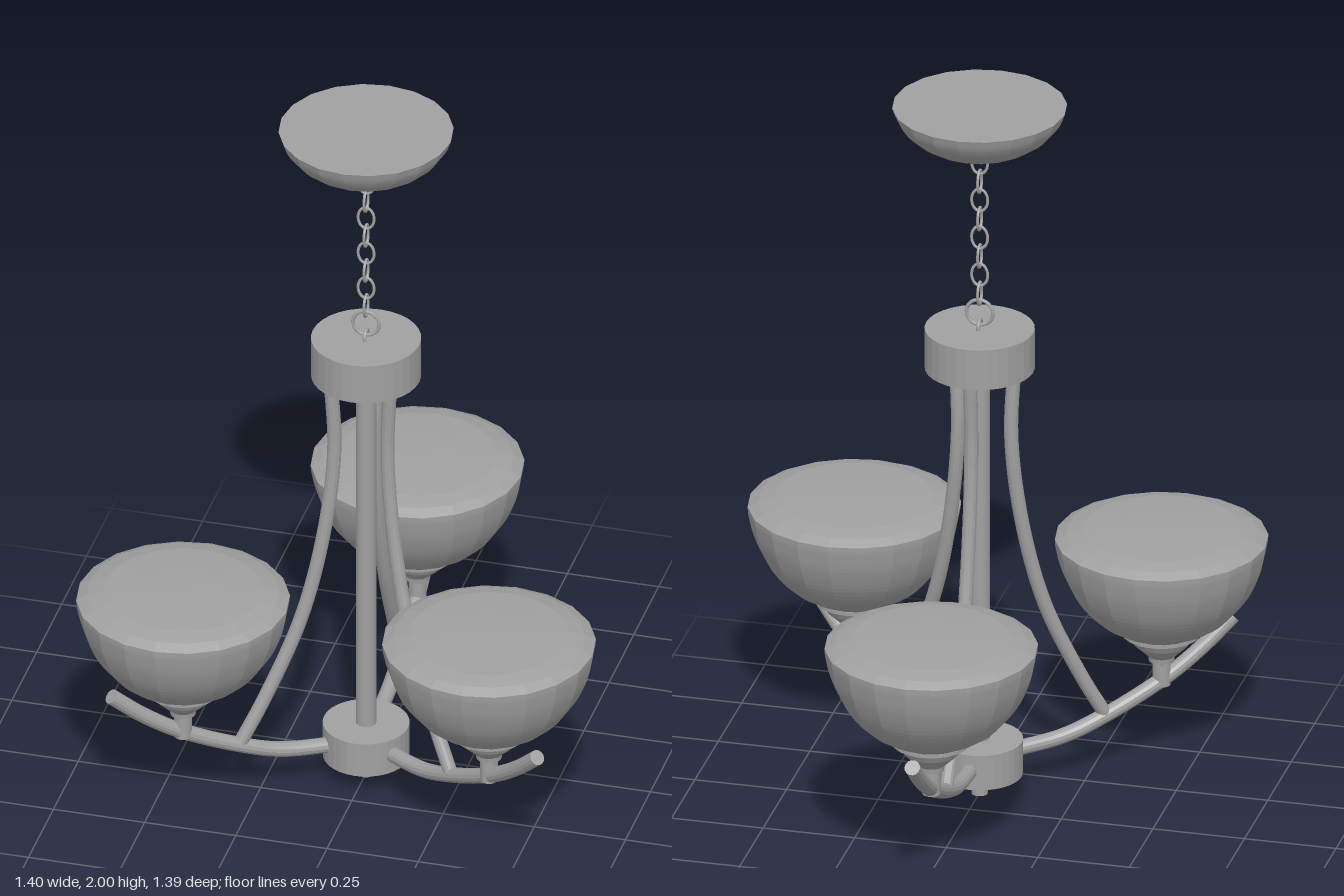
import * as THREE from 'three';

const metal = new THREE.MeshStandardMaterial({ color: 0xa0a0a0, flatShading: true });
metal.name = 'grey metal';
const smoothMetal = metal; // single finish throughout

const SIDES = 20;

function add(parent, name, geometry, y = 0, z = 0) {
  const mesh = new THREE.Mesh(geometry, smoothMetal);
  mesh.name = name;
  mesh.position.set(0, y, z);
  parent.add(mesh);
  return mesh;
}

// Cylinder given by its bottom and top heights
function drum(parent, name, radius, y0, y1, sides = 32) {
  return add(parent, name, new THREE.CylinderGeometry(radius, radius, y1 - y0, sides), (y0 + y1) / 2);
}

// Smooth bowl curve of [radius, y] points, listed bottom to top
function bowlCurve(points) {
  return new THREE.SplineCurve(points.map(p => new THREE.Vector2(...p))).getPoints(24);
}

// Round rod along [radius, y] points in the local yz plane, with flat end caps
function rod(parent, name, points, radius) {
  const curve = new THREE.CatmullRomCurve3(points.map(([r, y]) => new THREE.Vector3(0, y, r)));
  add(parent, name, new THREE.TubeGeometry(curve, 40, radius, 14));
  for (const t of [0, 1]) {
    const cap = add(parent, name + 'Cap', new THREE.CircleGeometry(radius, 14));
    const outward = curve.getTangent(t).multiplyScalar(t ? 1 : -1);
    cap.position.copy(curve.getPoint(t));
    cap.quaternion.setFromUnitVectors(new THREE.Vector3(0, 0, 1), outward);
  }
}

// One arm with its strut, cup and shade, pointing along local +z
function makeBranch() {
  const branch = new THREE.Group();
  branch.name = 'branch';
  rod(branch, 'arm', [[0.09, 0.11], [0.24, 0.127], [0.36, 0.168], [0.53, 0.25], [0.635, 0.322], [0.72, 0.395]], 0.021);
  rod(branch, 'strut', [[0.1, 1.25], [0.09, 1.02], [0.122, 0.76], [0.185, 0.52], [0.29, 0.29], [0.36, 0.165]], 0.019);

  const cup = [[0, 0.23], [0.024, 0.23], [0.024, 0.295], [0.034, 0.3], [0.036, 0.315], [0.052, 0.33],
    [0.075, 0.352], [0.086, 0.372], [0.106, 0.38], [0.106, 0.39], [0, 0.39]];
  add(branch, 'cup', new THREE.LatheGeometry(cup.map(p => new THREE.Vector2(...p)), SIDES), 0, 0.517);

  // Deep bowl closed by a shallow dome
  const shade = [new THREE.Vector2(0, 0.388),
    ...bowlCurve([[0.1, 0.388], [0.175, 0.433], [0.232, 0.5], [0.265, 0.57], [0.28, 0.63], [0.283, 0.658]]),
    ...[[0.255, 0.672], [0.21, 0.683], [0.1, 0.69], [0, 0.692]].map(p => new THREE.Vector2(...p))];
  add(branch, 'shade', new THREE.LatheGeometry(shade, SIDES), 0, 0.517);
  return branch;
}

// Oval chain link
function link(parent, name, y, turned, rx, ry, thickness) {
  const points = [];
  for (let i = 0; i < 16; i++) {
    const a = i / 16 * Math.PI * 2;
    points.push(new THREE.Vector3(Math.cos(a) * rx, Math.sin(a) * ry, 0));
  }
  const curve = new THREE.CatmullRomCurve3(points, true);
  const mesh = add(parent, name, new THREE.TubeGeometry(curve, 28, thickness, 8, true), y);
  if (turned) mesh.rotation.y = Math.PI / 2;
}

export function createModel() {
  const model = new THREE.Group();
  model.name = 'chandelier';
  const body = new THREE.Group();
  body.name = 'body';
  body.position.z = 0.107;
  model.add(body);

  // Central column
  drum(body, 'finial', 0.022, 0, 0.07, 16);
  drum(body, 'lowerHub', 0.115, 0.06, 0.16);
  drum(body, 'column', 0.027, 0.15, 1.24, 20);
  drum(body, 'upperHubPlate', 0.085, 1.22, 1.245);
  drum(body, 'upperHub', 0.146, 1.24, 1.355);

  // Three branches
  for (const angle of [Math.PI, 0.946, -0.946]) {
    const branch = makeBranch();
    branch.rotation.y = angle;
    body.add(branch);
  }

  // Chain with alternating links
  link(body, 'hubLoop', 1.358, true, 0.018, 0.02, 0.005);
  link(body, 'chainRing', 1.4, false, 0.036, 0.036, 0.005);
  for (let i = 0; i < 8; i++) link(body, 'chainLink', 1.455 + i * 0.0543, i % 2 === 0, 0.022, 0.032, 0.004);

  // Ceiling canopy
  drum(body, 'canopyCollar', 0.068, 1.862, 1.885, SIDES);
  const canopy = [new THREE.Vector2(0, 1.872),
    ...bowlCurve([[0.075, 1.872], [0.135, 1.893], [0.187, 1.927], [0.218, 1.965], [0.232, 2]]),
    new THREE.Vector2(0, 2)];
  add(body, 'canopy', new THREE.LatheGeometry(canopy, SIDES));
  return model;
}
